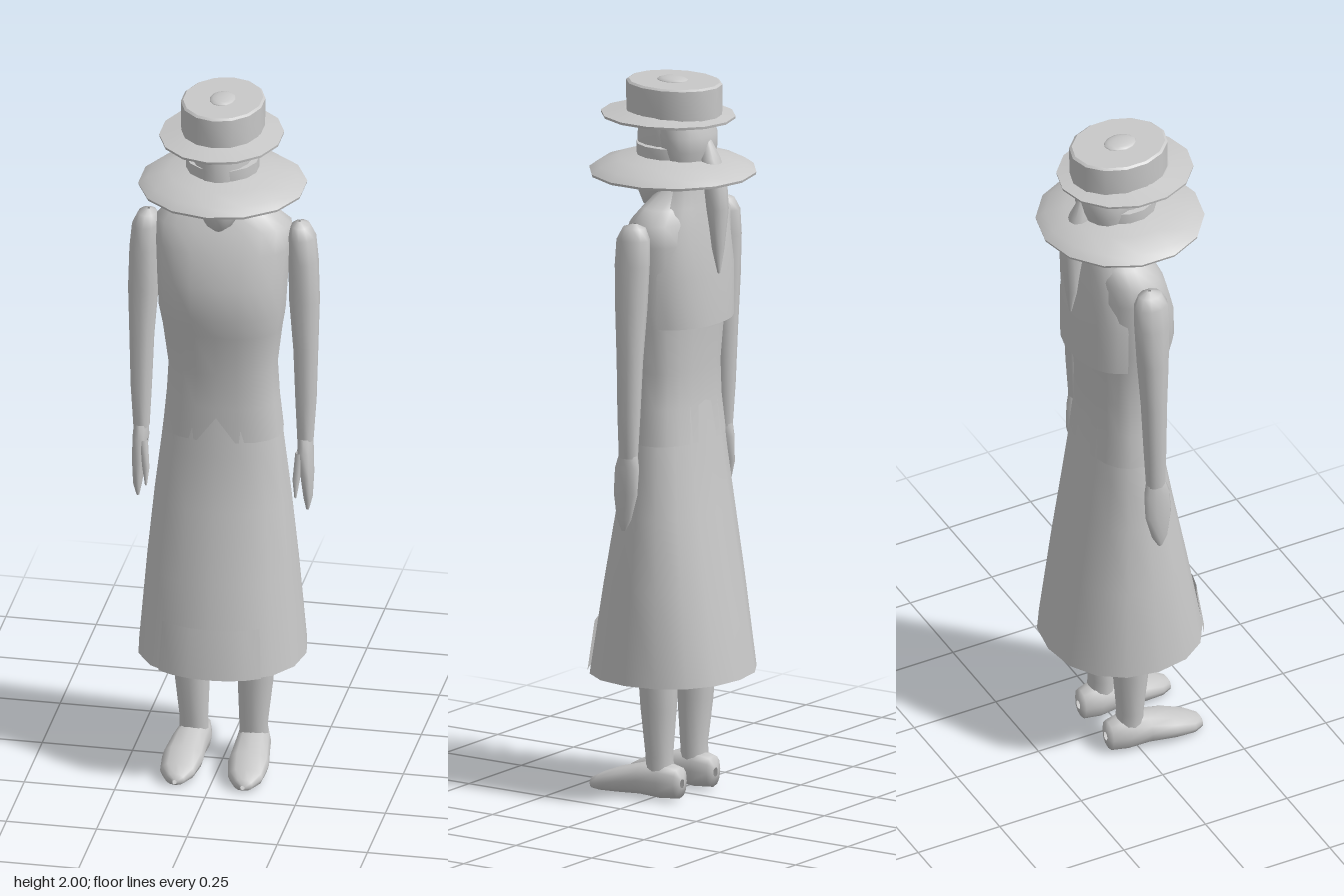
import * as THREE from 'three';
import { toCreasedNormals } from 'three/addons/utils/BufferGeometryUtils.js';

// Skin rings [y, centreX, halfWidth, zFront, zBack], listed from low to high.
// power < 1 makes the outline squarer; start/length limit it to part of a turn.
function loft(rings, { sides = 16, power = 1, start = 0, length = Math.PI * 2 } = {}) {
  const closed = length > 6.28;
  const row = closed ? sides : sides + 1;
  const soft = v => Math.sign(v) * Math.abs(v) ** power;
  const pos = [], index = [];
  for (const [y, cx, rx, zf, zb] of rings) {
    for (let j = 0; j < row; j++) {
      const a = start + length * j / sides;
      pos.push(cx + rx * soft(Math.sin(a)), y, (zf + zb) / 2 + (zf - zb) / 2 * soft(Math.cos(a)));
    }
  }
  for (let i = 0; i < rings.length - 1; i++) {
    for (let j = 0; j < sides; j++) {
      const a = i * row + j, b = i * row + (j + 1) % row;
      index.push(a, b, a + row, b, b + row, a + row);
    }
  }
  const g = new THREE.BufferGeometry();
  g.setAttribute('position', new THREE.Float32BufferAttribute(pos, 3));
  g.setIndex(index);
  g.computeVertexNormals();
  return g;
}

// Turned hat shape with crisp rims
function turned(profile, sides) {
  const g = new THREE.LatheGeometry(profile.map(p => new THREE.Vector2(...p)), sides);
  return toCreasedNormals(g, 0.7);
}

export function createModel() {
  const model = new THREE.Group();
  const grey = new THREE.MeshStandardMaterial({ color: 0xc8c8c8, side: THREE.DoubleSide });
  grey.name = 'plain grey';
  const add = (name, geometry, parent = model) => {
    const mesh = new THREE.Mesh(geometry, grey);
    mesh.name = name;
    parent.add(mesh);
    return mesh;
  };

  // Long open skirt, with its lining and a raised panel at the front hem
  add('skirt', loft([
    [0.34, 0, 0.232, 0.218, -0.22], [0.6, 0, 0.21, 0.17, -0.18],
    [0.8, 0, 0.19, 0.13, -0.147], [0.95, 0, 0.172, 0.103, -0.125],
    [1.12, 0, 0.152, 0.093, -0.107],
  ], { power: 0.92 }));
  add('skirtLining', loft([
    [0.36, 0, 0.205, 0.19, -0.195], [0.6, 0, 0.195, 0.155, -0.165],
  ], { power: 0.92 }));
  add('hemPanel', loft([
    [0.34, 0, 0.234, 0.222, -0.22], [0.48, 0, 0.222, 0.199, -0.195],
  ], { power: 0.92, sides: 6, start: -0.62, length: 1.24 }));

  // Fitted bodice up to the sloping shoulders and neck
  add('bodice', loft([
    [1.0, 0, 0.166, 0.098, -0.118], [1.1, 0, 0.156, 0.095, -0.108],
    [1.2, 0, 0.15, 0.097, -0.108], [1.32, 0, 0.165, 0.112, -0.115],
    [1.38, 0, 0.175, 0.128, -0.12], [1.47, 0, 0.18, 0.124, -0.125],
    [1.56, 0, 0.187, 0.098, -0.125], [1.62, 0, 0.187, 0.068, -0.115],
    [1.655, 0, 0.14, 0.045, -0.1], [1.69, 0, 0.07, 0.025, -0.085],
    [1.74, 0, 0.05, 0.02, -0.075],
  ], { power: 0.85, sides: 20 }));

  // Back layer hanging from the collar
  add('backLayer', loft([
    [1.33, 0, 0.165, 0.11, -0.153], [1.47, 0, 0.172, 0.1, -0.15],
    [1.6, 0, 0.15, 0.06, -0.137], [1.66, 0, 0.115, 0.04, -0.127],
    [1.715, 0, 0.1, 0.02, -0.12],
  ], { power: 0.9, sides: 12, start: Math.PI * 0.58, length: Math.PI * 0.84 }));

  // Head, hair and ponytail
  add('head', loft([
    [1.622, 0, 0.012, 0.07, 0.045], [1.64, 0, 0.038, 0.092, 0.0],
    [1.68, 0, 0.064, 0.106, -0.05], [1.73, 0, 0.076, 0.108, -0.09],
    [1.79, 0, 0.083, 0.105, -0.105], [1.86, 0, 0.084, 0.1, -0.105],
    [1.91, 0, 0.074, 0.085, -0.095],
  ]));
  add('hair', loft([
    [1.76, 0, 0.08, 0.0, -0.11], [1.81, 0, 0.09, 0.02, -0.125],
    [1.85, 0, 0.092, 0.03, -0.125], [1.9, 0, 0.08, 0.03, -0.11],
  ]));
  add('ponytail', loft([
    [1.47, 0, 0.004, -0.148, -0.156], [1.54, 0, 0.02, -0.13, -0.166],
    [1.65, 0, 0.032, -0.115, -0.178], [1.73, 0, 0.034, -0.105, -0.172],
    [1.79, 0, 0.03, -0.095, -0.15], [1.84, 0, 0.012, -0.09, -0.125],
  ], { sides: 10 }));

  // Wide lower brim with a short band
  add('wideBrim', turned([
    [0.08, 1.755], [0.228, 1.733], [0.23, 1.74], [0.205, 1.758],
    [0.15, 1.777], [0.1, 1.787], [0.1, 1.818], [0.075, 1.82],
  ], 14));

  // Oval flat-topped hat
  const brim = add('hatBrim', turned([
    [0.08, 1.897], [0.168, 1.888], [0.169, 1.895], [0.11, 1.907],
  ], 14));
  brim.scale.z = 1.13;
  brim.position.z = 0.015;
  const crown = add('hatCrown', turned([
    [0.113, 1.9], [0.114, 1.985], [0.108, 1.99], [0, 1.99],
  ], 14));
  crown.scale.z = 1.22;
  crown.position.z = -0.005;
  const button = add('hatButton', new THREE.SphereGeometry(1, 12, 8));
  button.scale.set(0.037, 0.012, 0.048);
  button.position.y = 1.988;

  for (const side of [1, -1]) {
    const label = side > 0 ? 'left' : 'right';
    const x = v => side * v;

    // Arm with a rounded shoulder, then a flat hand and thumb
    const arm = new THREE.Group();
    arm.name = label + 'Arm';
    model.add(arm);
    add('sleeve', loft([
      [0.98, x(0.227), 0.022, 0.018, -0.038], [1.1, x(0.228), 0.029, 0.02, -0.045],
      [1.25, x(0.227), 0.034, 0.022, -0.052], [1.4, x(0.223), 0.042, 0.028, -0.062],
      [1.52, x(0.22), 0.041, 0.033, -0.069], [1.59, x(0.216), 0.038, 0.031, -0.068],
      [1.622, x(0.212), 0.026, 0.015, -0.053], [1.632, x(0.209), 0.004, -0.014, -0.024],
    ], { sides: 10 }), arm);
    add('hand', loft([
      [0.775, x(0.235), 0.004, 0.006, -0.006], [0.81, x(0.236), 0.012, 0.022, -0.026],
      [0.88, x(0.233), 0.018, 0.034, -0.044], [0.95, x(0.228), 0.022, 0.032, -0.045],
      [0.99, x(0.227), 0.02, 0.018, -0.038],
    ], { sides: 10 }), arm);
    add('thumb', loft([
      [0.82, x(0.207), 0.003, 0.034, 0.025], [0.87, x(0.208), 0.01, 0.036, 0.014],
      [0.95, x(0.216), 0.012, 0.028, 0.004],
    ], { sides: 8 }), arm);

    // Leg running up inside the skirt
    const leg = new THREE.Group();
    leg.name = label + 'Leg';
    model.add(leg);
    add('shin', loft([
      [0.06, x(0.083), 0.04, 0.02, -0.055], [0.12, x(0.083), 0.04, 0.024, -0.05],
      [0.25, x(0.088), 0.05, 0.035, -0.063], [0.36, x(0.09), 0.055, 0.042, -0.07],
      [0.6, x(0.09), 0.06, 0.05, -0.07],
    ], { sides: 12 }), leg);

    // Shoe, built heel to toe and laid flat: the last two values are -floor and -top
    const shoe = loft([
      [-0.086, x(0.08), 0.01, -0.035, -0.06], [-0.078, x(0.08), 0.034, -0.005, -0.092],
      [-0.03, x(0.082), 0.046, 0, -0.102], [0.03, x(0.087), 0.05, -0.006, -0.095],
      [0.1, x(0.091), 0.057, -0.004, -0.076], [0.16, x(0.094), 0.048, -0.002, -0.052],
      [0.192, x(0.094), 0.026, -0.002, -0.035], [0.2, x(0.094), 0.006, -0.008, -0.02],
    ], { sides: 12, power: 0.85 });
    shoe.rotateX(Math.PI / 2);
    add('shoe', shoe, leg);
  }
  return model;
}
